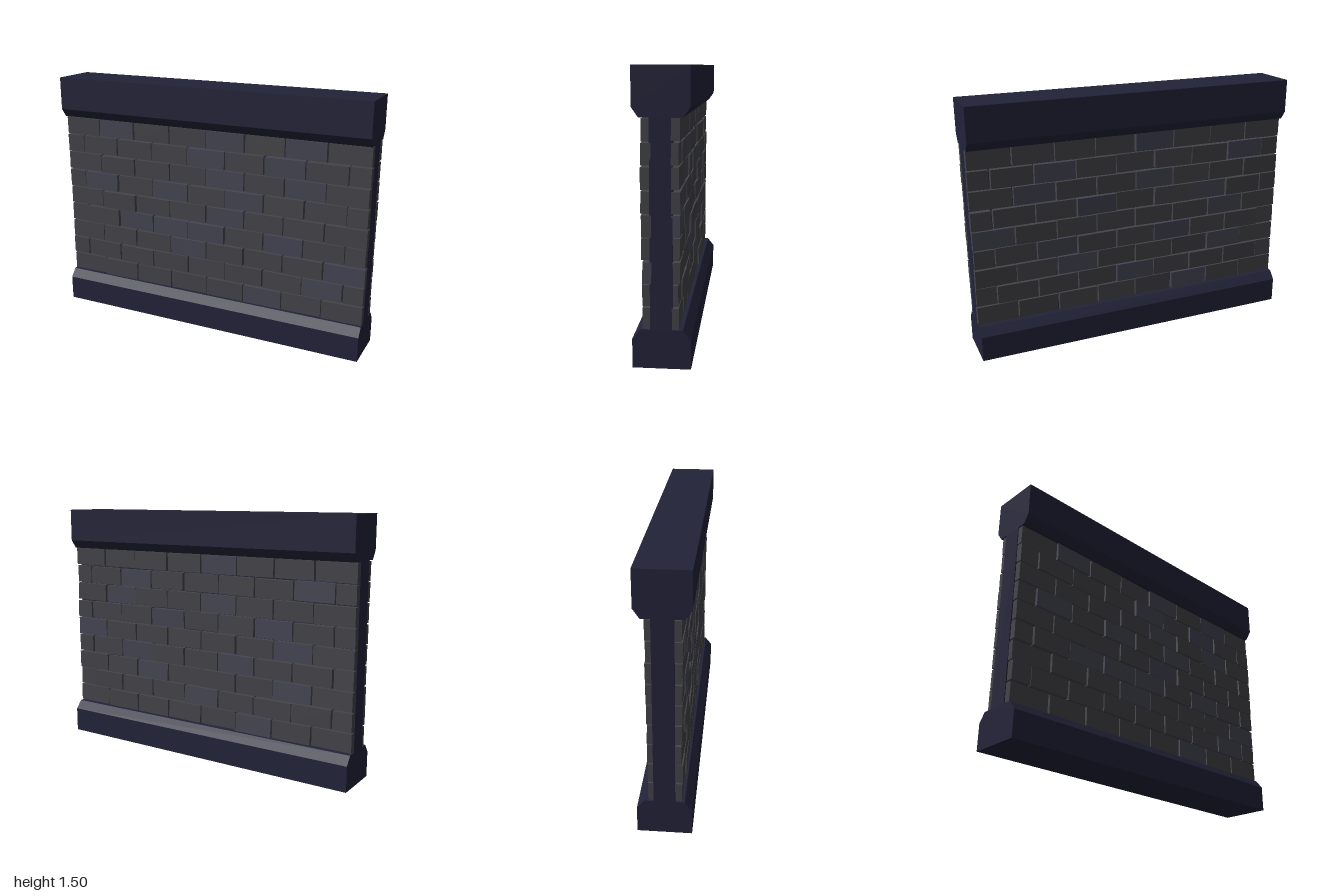
import * as THREE from 'three';

// Small seeded generator for the uneven masonry
function seeded(seed) {
  let s = seed;
  return () => {
    s = (s * 16807) % 2147483647;
    return s / 2147483647;
  };
}

// Brick tones per course, bottom to top: g = grey, b = bluish
const FRONT = ['gggggbgg', 'gggggggbg', 'gggbgggb', 'ggbbbgbgg', 'ggggbggg',
  'gbgbgbggg', 'ggggbgbg', 'ggggbgbgg', 'gbggbgbg'];
const BACK = ['ggbggggg', 'ggggbgggg', 'gbgggbgg', 'gggbggbgg', 'gbgggggb',
  'ggbggbggg', 'gggbggbg', 'gbggggbgg', 'gggbgggg'];

export function createModel() {
  const model = new THREE.Group();
  model.name = 'brickWall';

  const frameMat = new THREE.MeshStandardMaterial({ color: 0x23233a });
  frameMat.name = 'darkNavyStone';
  const greyMat = new THREE.MeshStandardMaterial({ color: 0x444449 });
  greyMat.name = 'greyBrick';
  const blueMat = new THREE.MeshStandardMaterial({ color: 0x454553 });
  blueMat.name = 'bluishBrick';

  // Extrudes a symmetric (half depth, height) outline along x
  const beam = (name, half) => {
    const pts = [...half, ...half.slice().reverse().map(([z, y]) => [-z, y])];
    const shape = new THREE.Shape(pts.map(([z, y]) => new THREE.Vector2(z, y)));
    const geo = new THREE.ExtrudeGeometry(shape, { depth: 1.988, bevelEnabled: false });
    geo.translate(0, 0, -0.997);
    geo.rotateY(Math.PI / 2);
    const mesh = new THREE.Mesh(geo, frameMat);
    mesh.name = name;
    model.add(mesh);
  };

  // Plinth, inner slab and coping
  beam('plinth', [[0.147, 0], [0.147, 0.15], [0.107, 0.2]]);
  beam('core', [[0.057, 0.2], [0.057, 1.25]]);
  beam('coping', [[0.107, 1.25], [0.142, 1.3], [0.142, 1.498]]);

  // Running-bond brick facing
  const addFacing = (name, side, tones, seed) => {
    const rnd = seeded(seed);
    const jitter = (a) => (rnd() - 0.5) * 2 * a;
    const group = new THREE.Group();
    group.name = name;
    const rowH = 1.05 / 9;
    tones.forEach((row, r) => {
      [...row].forEach((tone, c) => {
        const shift = r % 2 ? 0.125 : 0;
        const x0 = Math.max(-0.997, -0.997 + c * 0.249 - shift);
        const x1 = Math.min(0.995, -0.997 + (c + 1) * 0.249 - shift);
        const outer = (side > 0 ? 0.096 : 0.089) + jitter(0.005);
        const depth = outer - 0.05;
        const geo = new THREE.BoxGeometry(x1 - x0 - 0.008, rowH - 0.008, depth);
        const brick = new THREE.Mesh(geo, tone === 'b' ? blueMat : greyMat);
        brick.name = 'brick';
        brick.position.set((x0 + x1) / 2 + jitter(0.002),
          0.2 + (r + 0.5) * rowH + jitter(0.002), side * (outer - depth / 2));
        brick.rotation.set(jitter(0.025), jitter(0.02), jitter(0.005));
        group.add(brick);
      });
    });
    model.add(group);
  };
  addFacing('frontBricks', 1, FRONT, 4711);
  addFacing('backBricks', -1, BACK, 9241);

  return model;
}
